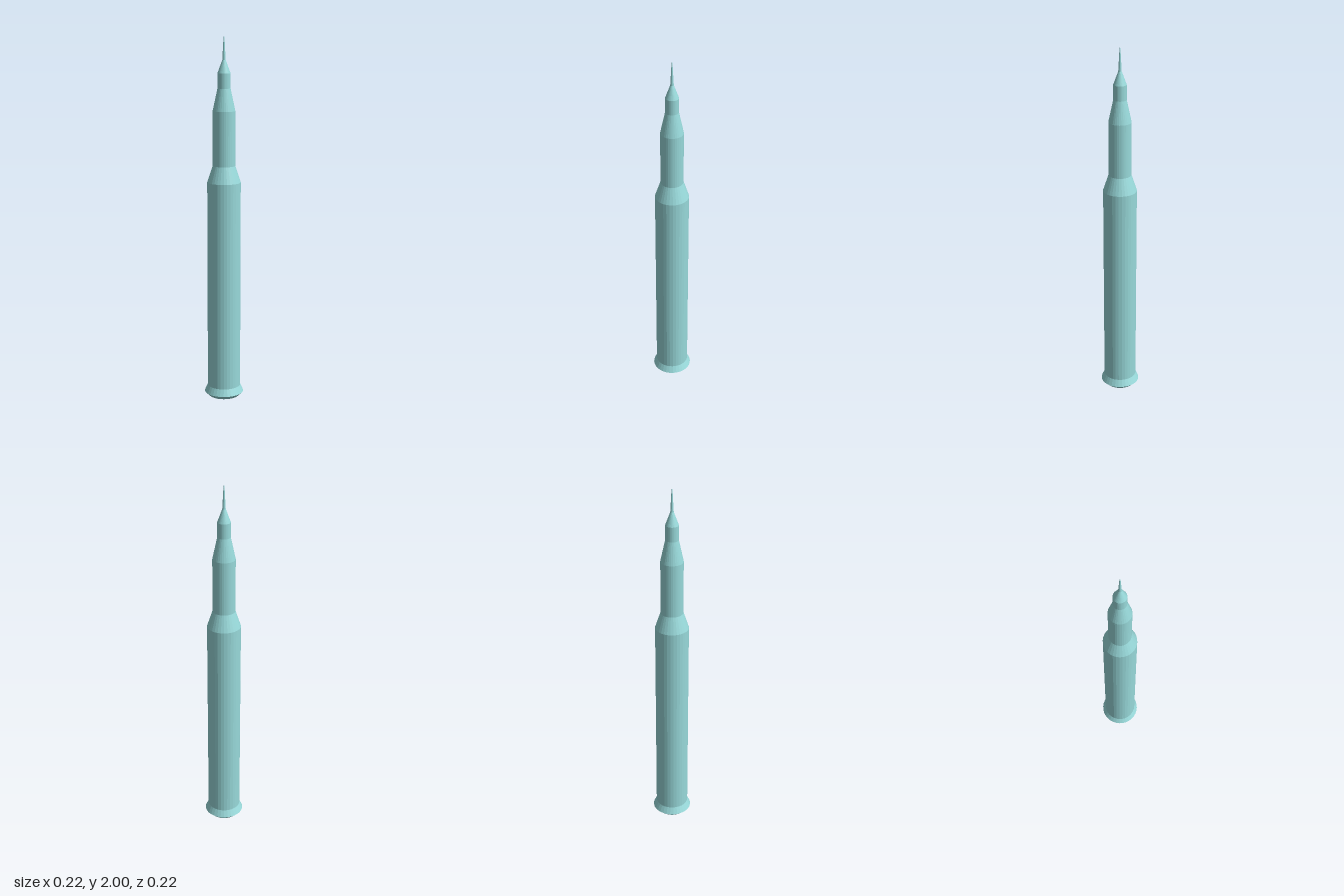
import * as THREE from 'three';

const SIDES = 32;

export function createModel() {
  const model = new THREE.Group();
  model.name = 'rocket';
  const paleTeal = new THREE.MeshStandardMaterial({ color: 0x98d9da, flatShading: true });
  paleTeal.name = 'paleTeal';

  // Each stage is turned from [radius, height] pairs, listed bottom to top
  const addStage = (name, profile) => {
    const points = profile.map(([r, y]) => new THREE.Vector2(r, y));
    const mesh = new THREE.Mesh(new THREE.LatheGeometry(points, SIDES), paleTeal);
    mesh.name = name;
    model.add(mesh);
  };

  // Closed underside and flared skirt
  addStage('baseSkirt', [[0, 0], [0.085, 0], [0.108, 0.022], [0.091, 0.06]]);
  // Main cylinder and its sloped shoulder
  addStage('lowerStage', [[0.091, 0.06], [0.091, 1.215]]);
  addStage('lowerShoulder', [[0.091, 1.215], [0.061, 1.305]]);
  // Narrower cylinder tapering to the capsule
  addStage('upperStage', [[0.061, 1.305], [0.061, 1.6]]);
  addStage('upperTaper', [[0.061, 1.6], [0.035, 1.72]]);
  // Capsule with conical nose
  addStage('capsule', [[0.035, 1.72], [0.035, 1.8]]);
  addStage('noseCone', [[0.035, 1.8], [0.009, 1.87]]);
  // Thin spire at the tip
  addStage('spire', [[0.009, 1.87], [0.003, 1.98], [0, 2]]);

  return model;
}
